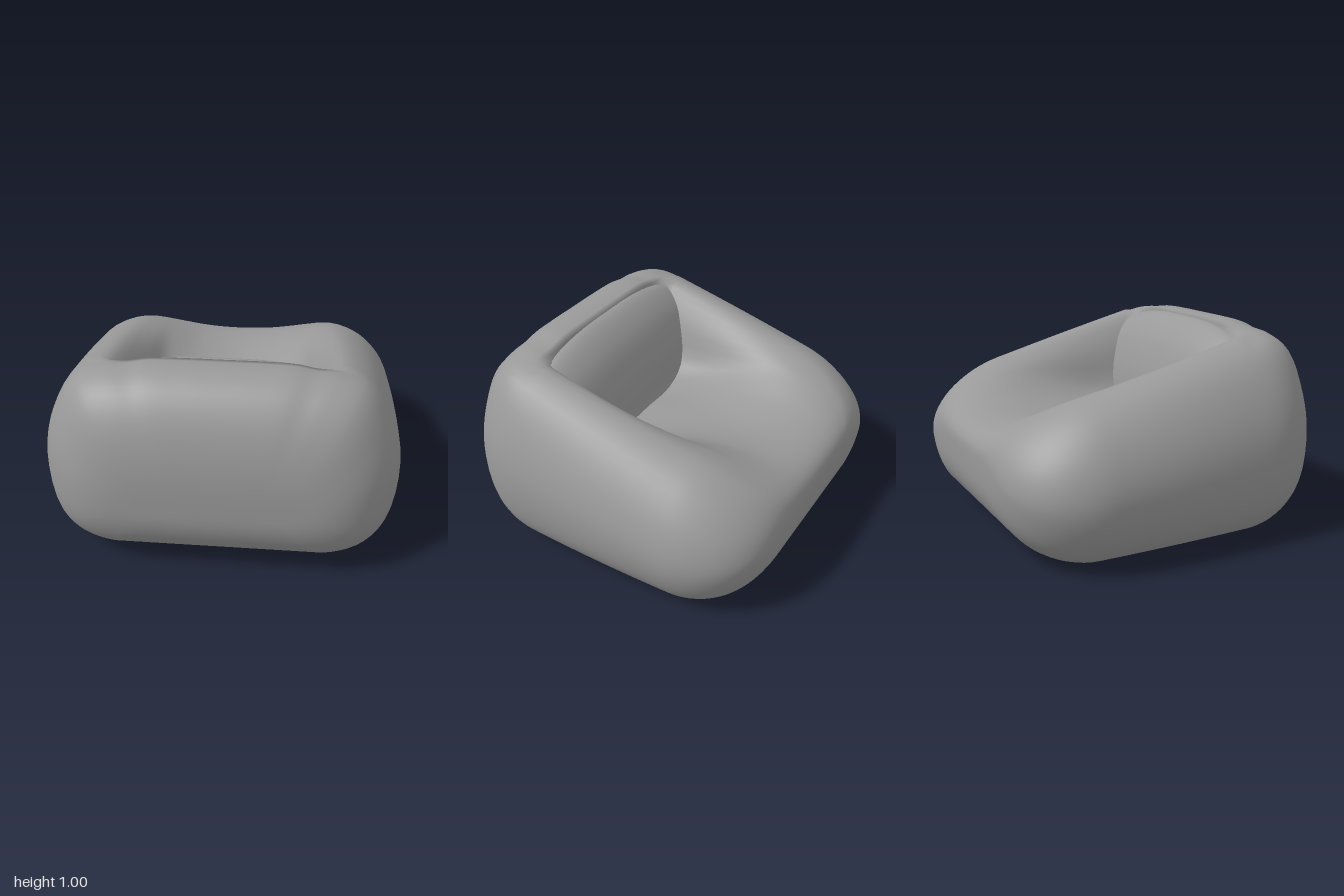
import * as THREE from 'three';

const RING = 96;

// Smooth closed cross-section from a few [across, height] points
function section(points) {
  const curve = new THREE.CatmullRomCurve3(points.map(([a, y]) => new THREE.Vector3(a, y, 0)), true, 'centripetal');
  return curve.getPoints(RING).slice(0, RING).map(p => [p.x, Math.max(0, p.y)]);
}

// Skins a list of equal cross-sections; place(across, height, along) gives the vertex.
// Faces whose corners all satisfy open(x, y, z) are left out.
function loft(stations, centre, place, open = () => false) {
  const pos = [], index = [];
  for (const { along, ka, ky, ring } of stations) {
    for (const [a, y] of ring) {
      pos.push(...place(centre[0] + (a - centre[0]) * ka, centre[1] + (y - centre[1]) * ky, along));
    }
  }
  const last = stations.length - 1;
  for (let i = 0; i < last; i++) {
    for (let j = 0; j < RING; j++) {
      const a = i * RING + j, b = i * RING + (j + 1) % RING;
      const corners = [a, b, a + RING, b + RING];
      if (corners.every(c => open(pos[3 * c], pos[3 * c + 1], pos[3 * c + 2]))) continue;
      index.push(a, b, a + RING, b, b + RING, a + RING);
    }
  }
  // End caps
  const first = pos.length / 3;
  pos.push(...place(...centre, stations[0].along), ...place(...centre, stations[last].along));
  for (let j = 0; j < RING; j++) {
    const n = (j + 1) % RING;
    index.push(n, j, first, last * RING + j, last * RING + n, first + 1);
  }
  const geo = new THREE.BufferGeometry();
  geo.setAttribute('position', new THREE.Float32BufferAttribute(pos, 3));
  geo.setIndex(index);
  geo.computeVertexNormals();
  return geo;
}

// Rounded end: distance along, and scales of the section across and in height
const roundEnd = (start, depth, minA, minY, powA, powY, n = 18) => Array.from({ length: n + 1 }, (_, i) => {
  const t = (i / n) * Math.PI / 2, c = Math.max(0, Math.cos(t));
  return {
    along: start + depth * Math.sin(t),
    ka: minA + (1 - minA) * c ** powA,
    ky: minY + (1 - minY) * c ** powY,
  };
});

const backward = stations => stations.map(s => ({ ...s, along: -s.along })).reverse();

// Arms slope down to the front and the seat hollow softens as it rises.
// Behind the seat the section is full height with a slightly crowned top.
function bodySection(u) {
  const behind = Math.max(0, -0.44 - u);
  const R = 0.845 - 0.26 * u + 0.15 * behind;
  const S = u < -0.42 ? 0.99 + 0.43 * behind : 0.515 + 0.125 * u;
  const soft = THREE.MathUtils.smoothstep(u, -0.15, 0.5);
  const w = 1 - 0.06 * (u - 0.05) ** 2;
  const inner = (sharp, round) => S + (R - S) * THREE.MathUtils.lerp(sharp, round, soft);
  const half = [
    [0.2, inner(0.01, 0.2)], [0.34, inner(0.16, 0.6)], [0.43, inner(0.7, 0.86)], [0.54, R], [0.68, R - 0.055],
    [0.8, R * 0.74], [0.855, R * 0.5], [0.825, 0.2], [0.73, 0.065], [0.58, 0], [0.3, 0],
  ].map(([a, y]) => [a * w, y]);
  const mirrored = half.map(([a, y]) => [-a, y]).reverse();
  return section([[0, S], ...half, [0, 0], ...mirrored]);
}

// Hollow shell of seat, arms and rear, open underneath
function createBody() {
  const straight = Array.from({ length: 20 }, (_, i) => ({ along: -0.36 + i * 0.0375, ka: 1, ky: 1 }));
  const stations = [
    ...backward(roundEnd(0.4, 0.41, 0.45, 0.1, 0.7, 1)), ...straight, ...roundEnd(0.39, 0.4, 0.45, 0.1, 0.7, 0.85),
  ].map(s => ({ ...s, ring: bodySection(s.along) }));
  const underside = (x, y, z) => y < 0.03 && Math.abs(x) < 0.56 && Math.abs(z) < 0.56;
  return loft(stations, [0, 0.42], (a, y, u) => [u, y, a], underside);
}

// Padded front of the backrest, rising from the seat to the top edge
function createBackCushion() {
  const ring = section([
    [-0.42, 0.985], [-0.5, 0.97], [-0.5, 0.9], [-0.4, 0.8], [-0.33, 0.6], [-0.26, 0.44],
    [-0.2, 0.44], [-0.205, 0.55], [-0.235, 0.72], [-0.31, 0.89],
  ]);
  const end = roundEnd(0.1, 0.6, 0.55, 0.55, 1, 1);
  const stations = [...backward(end), ...end].map(s => ({ ...s, ring }));
  return loft(stations, [-0.35, 0.45], (a, y, v) => [a, y, v]);
}

export function createModel() {
  const group = new THREE.Group();
  group.name = 'armchair';
  const material = new THREE.MeshStandardMaterial({ color: 0x999999, side: THREE.DoubleSide });
  const add = (name, geo) => {
    const mesh = new THREE.Mesh(geo, material);
    mesh.name = name;
    group.add(mesh);
  };
  add('seatAndArms', createBody());
  add('backCushion', createBackCushion());
  // The chair is turned diagonally
  group.rotation.y = Math.PI / 4;
  return group;
}
